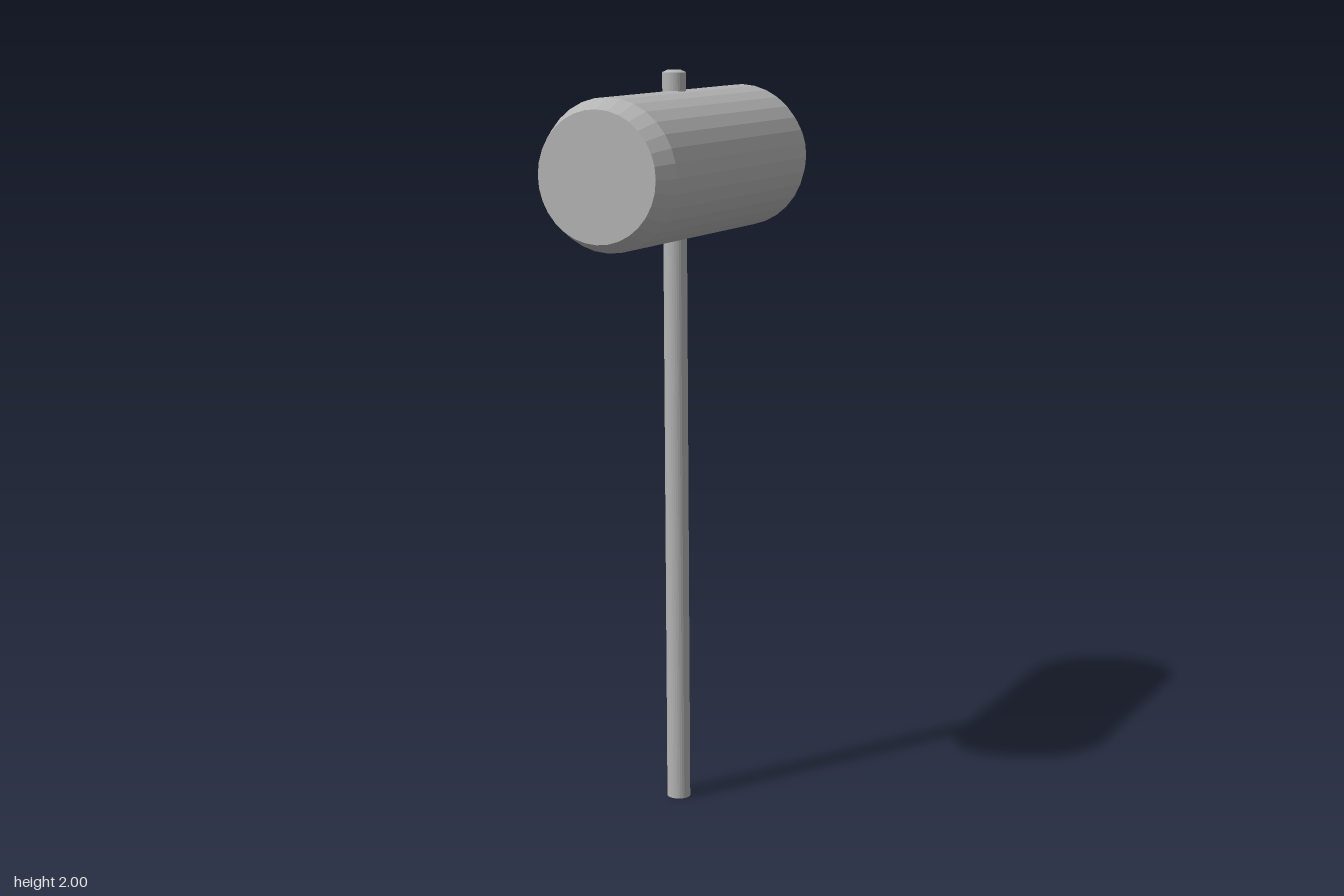
import * as THREE from 'three';

export function createModel() {
  const model = new THREE.Group();
  const gray = new THREE.MeshStandardMaterial({ color: 0xb4b4b4, flatShading: true });
  gray.name = 'plain gray';

  // Closed 32-sided turned part from [radius, height] profile points
  const turned = (name, profile) => {
    const points = profile.map(([r, y]) => new THREE.Vector2(r, y));
    const mesh = new THREE.Mesh(new THREE.LatheGeometry(points, 32), gray);
    mesh.name = name;
    model.add(mesh);
    return mesh;
  };

  // Barrel head with chamfered striking faces, lying along z
  const head = turned('head', [
    [0, -0.441], [0.168, -0.441], [0.195, -0.377],
    [0.195, 0.381], [0.168, 0.441], [0, 0.441],
  ]);
  head.geometry.rotateX(Math.PI / 2);
  head.position.y = 1.752;

  // Slender handle passing through the head, with a slightly chamfered tip
  const handle = turned('handle', [
    [0, 0], [0.032, 0], [0.0315, 1.994], [0.018, 2], [0, 2],
  ]);

  // Lean the handle a little by shearing it, keeping its base on the ground
  const position = handle.geometry.attributes.position;
  for (let i = 0; i < position.count; i++) {
    const t = position.getY(i) / 2;
    position.setX(i, position.getX(i) - 0.01 * t);
    position.setZ(i, position.getZ(i) + 0.008 * t - 0.001);
  }
  handle.geometry.computeVertexNormals();

  return model;
}
